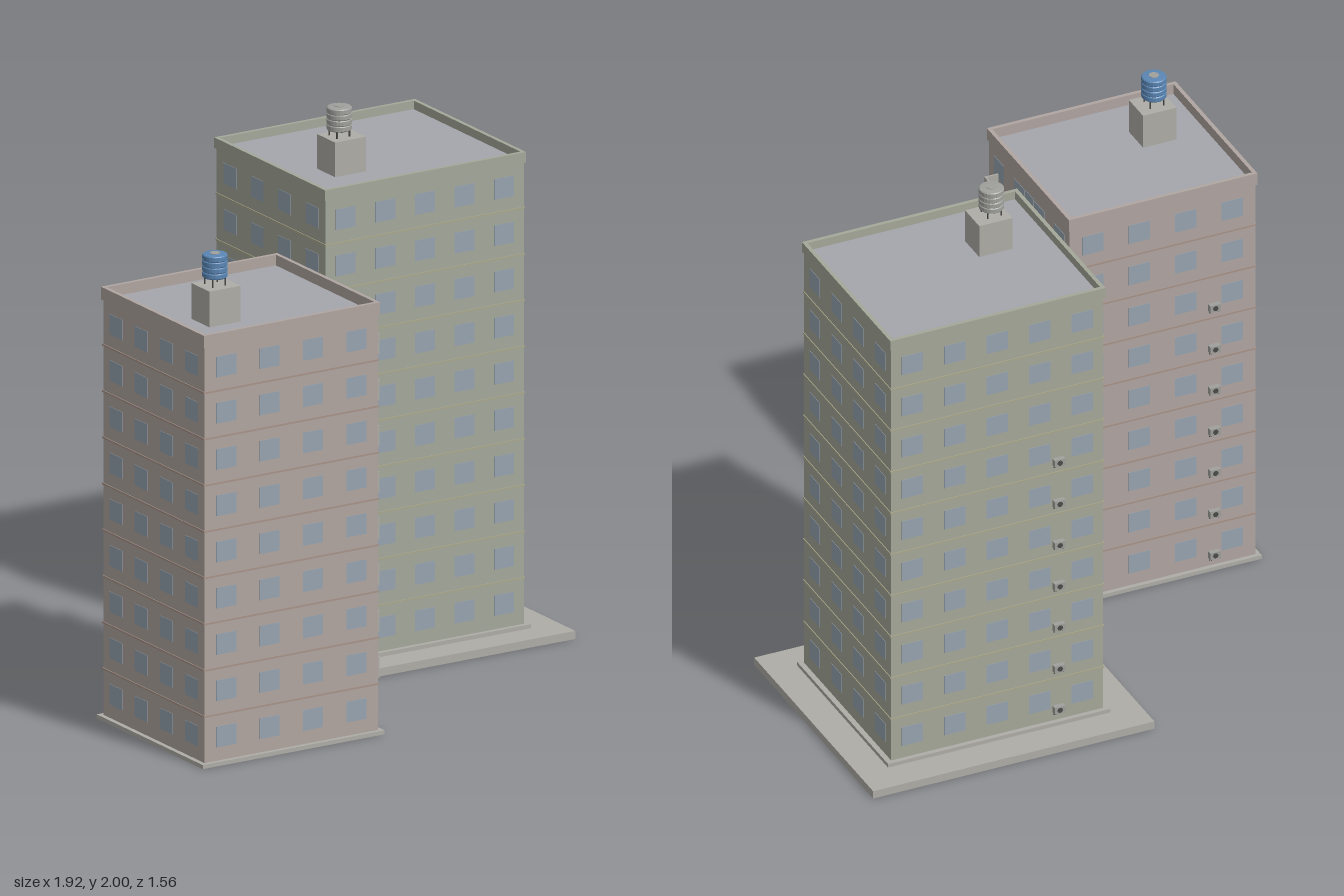
import * as THREE from 'three';

const mat = (color) => new THREE.MeshStandardMaterial({ color });
const GLASS = mat(0x96a3b0), ROOF = mat(0xa5a5ad), STONE = mat(0xaeada6), METAL = mat(0xa0a09c), DARK = mat(0x4a4a48);
const FLOOR = 0.171;

function add(parent, name, geometry, material, x = 0, y = 0, z = 0) {
  const mesh = new THREE.Mesh(geometry, material);
  mesh.name = name;
  mesh.position.set(x, y, z);
  parent.add(mesh);
  return mesh;
}

// Box standing on height y
const block = (parent, name, w, h, d, material, x, y, z) =>
  add(parent, name, new THREE.BoxGeometry(w, h, d), material, x, y + h / 2, z);

// Thin cylinder joining two points
function rod(parent, name, a, b, r, material) {
  const p = new THREE.Vector3(...a), q = new THREE.Vector3(...b), dir = q.clone().sub(p);
  const mesh = add(parent, name, new THREE.CylinderGeometry(r, r, dir.length(), 6), material);
  mesh.position.copy(p).lerp(q, 0.5);
  mesh.quaternion.setFromUnitVectors(new THREE.Vector3(0, 1, 0), dir.normalize());
}

// Ribbed water tank on four legs above the stair hut
function roofTank(parent, x, z, y, height, gap, material) {
  const tank = new THREE.Group();
  tank.name = 'waterTank';
  tank.position.set(x, y, z);
  const r = 0.045, pts = [new THREE.Vector2(0, gap)];
  for (let i = 0; i < 4; i++) {
    const y0 = gap + (i * height) / 4, s = height / 4;
    pts.push(new THREE.Vector2(r - 0.003, y0), new THREE.Vector2(r, y0 + s * 0.15),
      new THREE.Vector2(r, y0 + s * 0.85), new THREE.Vector2(r - 0.003, y0 + s));
  }
  pts.push(new THREE.Vector2(0.018, gap + height + 0.002), new THREE.Vector2(0, gap + height + 0.002));
  const body = new THREE.LatheGeometry(pts, 24).toNonIndexed();
  body.computeVertexNormals();
  add(tank, 'tankBody', body, material);
  add(tank, 'tankLid', new THREE.CylinderGeometry(0.018, 0.018, 0.006, 20), METAL, 0, gap + height + 0.001, 0);
  for (const sx of [-1, 1]) for (const sz of [-1, 1])
    rod(tank, 'tankLeg', [sx * 0.026, 0, sz * 0.026], [sx * 0.026, gap + 0.002, sz * 0.026], 0.003, DARK);
  parent.add(tank);
}

// Air conditioner hung on the back wall
function airConditioner(parent, x, y, zWall) {
  const unit = new THREE.Group();
  unit.name = 'airConditioner';
  unit.position.set(x, y, zWall);
  block(unit, 'unitCase', 0.042, 0.028, 0.02, METAL, 0, 0, -0.012);
  const fan = add(unit, 'unitFan', new THREE.CylinderGeometry(0.01, 0.01, 0.002, 16), DARK, 0, 0.014, -0.0225);
  fan.rotation.x = Math.PI / 2;
  for (const s of [-1, 1])
    rod(unit, 'unitBracket', [s * 0.014, 0, -0.02], [s * 0.014, -0.012, 0], 0.002, DARK);
  parent.add(unit);
}

// Balcony with parapet panels and two diagonal struts, on the +x wall
function balcony(parent, xWall, y, zMid) {
  const b = new THREE.Group();
  b.name = 'balcony';
  b.position.set(xWall, y, zMid);
  const out = 0.054, len = 0.52, t = 0.006;
  block(b, 'balconyFloor', out, 0.01, len, STONE, out / 2, 0, 0);
  block(b, 'balconyFront', t, 0.077, len, STONE, out - t / 2, 0, 0);
  for (const s of [-1, 1]) {
    block(b, 'balconyEnd', out, 0.077, t, STONE, out / 2, 0, s * (len / 2 - t / 2));
    rod(b, 'balconyStrut', [out - 0.006, 0, s * 0.186], [0, -0.032, s * 0.186], 0.004, DARK);
  }
  parent.add(b);
}

function tower({ name, w, d, x, z, base, floors, nx, nz, wall, trim, parapetTop }) {
  const g = new THREE.Group();
  g.name = name;
  g.position.set(x, 0, z);
  const roofY = base + floors * FLOOR;
  block(g, 'walls', w, roofY - base, d, wall, 0, base, 0);
  block(g, 'roof', w - 0.02, 0.004, d - 0.02, ROOF, 0, roofY, 0);

  for (let k = 0; k < floors; k++) {
    const y = base + k * FLOOR;
    // Floor bands
    if (k > 0) block(g, 'floorBand', w + 0.006, 0.007, d + 0.006, trim, 0, y - 0.0035, 0);
    // Window grid on all four sides
    for (const s of [-1, 1]) {
      for (let i = 0; i < nx; i++)
        block(g, 'window', 0.083, 0.076, 0.003, GLASS, ((i + 0.5) / nx - 0.5) * w, y + 0.05, (s * d) / 2);
      for (let i = 0; i < nz; i++)
        block(g, 'window', 0.003, 0.076, 0.083, GLASS, (s * w) / 2, y + 0.05, ((i + 0.5) / nz - 0.5) * d);
    }
  }

  // Parapet ring
  const ring = (a, b) => [[-a, -b], [a, -b], [a, b], [-a, b]].map((p) => new THREE.Vector2(...p));
  const shape = new THREE.Shape(ring(w / 2 + 0.006, d / 2 + 0.006));
  shape.holes.push(new THREE.Path(ring(w / 2 - 0.009, d / 2 - 0.009).reverse()));
  const lip = roofY - 0.004;
  const parapet = new THREE.ExtrudeGeometry(shape, { depth: parapetTop - lip, bevelEnabled: false });
  parapet.rotateX(-Math.PI / 2);
  add(g, 'parapet', parapet, wall, 0, lip, 0);
  return { g, roofY };
}

export function createModel() {
  const model = new THREE.Group();
  model.name = 'apartmentTowers';

  // Tall tower
  const green = mat(0xa4a899);
  const tall = tower({ name: 'tallTower', w: 0.826, d: 0.72, x: 0.41, z: -0.285, base: 0.045, floors: 10,
    nx: 5, nz: 4, wall: green, trim: mat(0xa9a88e), parapetTop: 1.79 });
  block(tall.g, 'groundSlab', 1.095, 0.03, 0.985, STONE, 0, 0, -0.005);
  block(tall.g, 'plinth', 0.866, 0.015, 0.755, STONE, 0, 0.03, 0);
  block(tall.g, 'stairHut', 0.13, 1.887 - tall.roofY, 0.118, STONE, -0.19, tall.roofY, 0.113);
  roofTank(tall.g, -0.2, 0.113, 1.887, 0.084, 0.025, METAL);
  for (let k = 0; k < 7; k++) airConditioner(tall.g, -0.235, 0.08 + k * FLOOR, -0.36);

  // Short tower
  const pink = mat(0xb0a5a1);
  const short = tower({ name: 'shortTower', w: 0.723, d: 0.667, x: -0.583, z: 0.431, base: 0.015, floors: 9,
    nx: 4, nz: 4, wall: pink, trim: mat(0xa8948a), parapetTop: 1.597 });
  block(short.g, 'plinth', 0.758, 0.015, 0.7, STONE, 0, 0, 0);
  block(short.g, 'stairHut', 0.13, 1.69 - short.roofY, 0.118, STONE, -0.167, short.roofY, 0.103);
  roofTank(short.g, -0.172, 0.103, 1.69, 0.085, 0.03, mat(0x5a86b4));
  for (let k = 0; k < 7; k++) airConditioner(short.g, -0.197, 0.05 + k * FLOOR, -0.3335);
  for (let k = 1; k < 9; k++) {
    const y = 0.015 + k * FLOOR;
    balcony(short.g, 0.3615, y - 0.007, 0);
    block(short.g, 'balconyDoor', 0.003, 0.125, 0.065, GLASS, 0.3615, y + 0.004, 0);
  }

  model.add(tall.g, short.g);
  return model;
}
